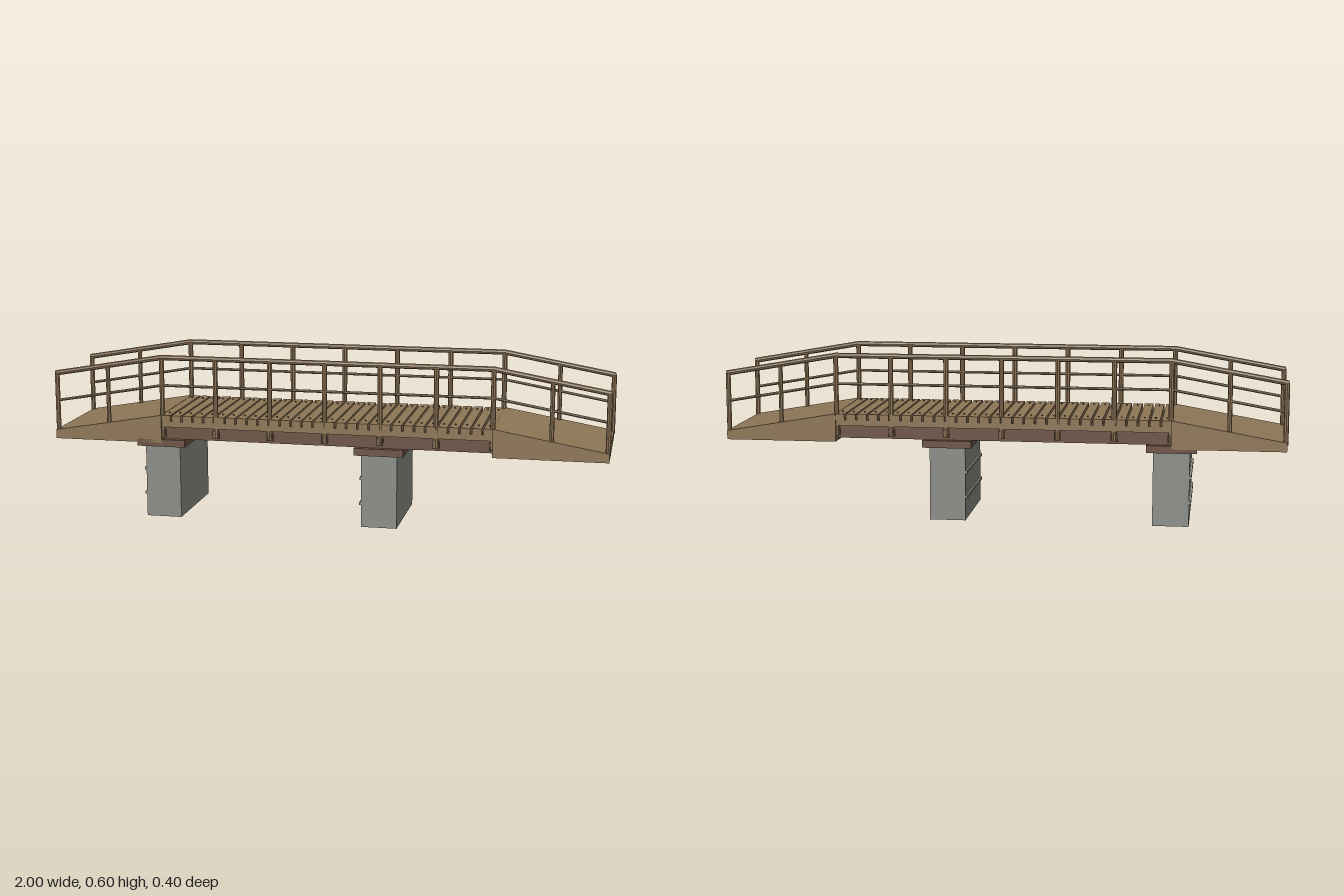
import * as THREE from 'three';

const mat = (name, color) => {
  const m = new THREE.MeshStandardMaterial({ color });
  m.name = name;
  return m;
};

export function createModel() {
  const wood = mat('wood', 0x8f7757);
  const darkWood = mat('dark wood', 0x6e5546);
  const concrete = mat('concrete', 0x8c8e88);
  const iron = mat('iron', 0x55504a);
  // flat-sided round timber
  const railWood = mat('rail wood', 0x8b7355);
  railWood.flatShading = true;

  const model = new THREE.Group();
  model.name = 'footbridge';

  const group = (name) => {
    const g = new THREE.Group();
    g.name = name;
    model.add(g);
    return g;
  };
  const add = (parent, name, geo, material, x = 0, y = 0, z = 0) => {
    const m = new THREE.Mesh(geo, material);
    m.name = name;
    m.position.set(x, y, z);
    parent.add(m);
    return m;
  };
  // box given by its lower and upper y
  const box = (parent, name, material, w, y0, y1, d, x = 0, z = 0) =>
    add(parent, name, new THREE.BoxGeometry(w, y1 - y0, d), material, x, (y0 + y1) / 2, z);
  // round bar between two points in a plane of constant z
  const bar = (parent, name, x0, y0, x1, y1, z, r, sides = 8) => {
    const dx = x1 - x0, dy = y1 - y0;
    const geo = new THREE.CylinderGeometry(r, r, Math.hypot(dx, dy), sides);
    const m = add(parent, name, geo, railWood, (x0 + x1) / 2, (y0 + y1) / 2, z);
    m.rotation.z = -Math.atan2(dx, dy);
  };

  // Piers with caps and formwork ridges
  const piers = group('piers');
  for (const x of [-0.597, 0.195]) {
    box(piers, 'pier', concrete, 0.128, 0, 0.264, 0.356, x);
    box(piers, 'pierCap', darkWood, 0.176, 0.264, 0.29, 0.4, x);
    for (const y of [0.085, 0.175]) {
      box(piers, 'pierRidge', concrete, 0.012, y - 0.005, y + 0.005, 0.35, x - 0.065);
    }
  }

  // Girders and cross beams under the deck
  const frame = group('frame');
  for (const s of [-1, 1]) box(frame, 'girder', darkWood, 1.2, 0.29, 0.336, 0.03, 0, s * 0.165);
  for (let i = -3; i <= 3; i++) {
    box(frame, 'crossBeam', darkWood, 0.024, 0.299, 0.325, 0.372, i * 0.198);
  }

  // Deck: base boards, planks and nail heads
  const deck = group('deck');
  add(deck, 'deckBase', new THREE.BoxGeometry(1.2, 0.021, 0.384),
    [wood, wood, darkWood, darkWood, wood, wood], 0, 0.3455, 0);
  const nailGeo = new THREE.CylinderGeometry(0.003, 0.003, 0.006, 6);
  for (let i = 0; i < 30; i++) {
    const x = -0.58 + i * 0.04;
    box(deck, 'plank', wood, 0.033, 0.355, 0.378, 0.39, x);
    for (const z of [-0.144, 0.144]) add(deck, 'nail', nailGeo, iron, x, 0.379, z);
  }

  // Solid wedge ramps at both ends
  const ramps = group('ramps');
  for (const s of [-1, 1]) {
    const profile = new THREE.Shape([
      [0.595, 0.278], [0.994, 0.278], [0.994, 0.31], [0.595, 0.379],
    ].map(([x, y]) => new THREE.Vector2(s * x, y)));
    const geo = new THREE.ExtrudeGeometry(profile, { depth: 0.4, bevelEnabled: false });
    add(ramps, 'ramp', geo, wood, 0, 0, -0.2);
  }

  // Railings on both sides
  for (const z of [-0.183, 0.183]) {
    const railing = group(z > 0 ? 'frontRailing' : 'backRailing');
    for (let i = -3; i <= 3; i++) bar(railing, 'post', i * 0.198, 0.3, i * 0.198, 0.585, z, 0.009);
    for (const [y, r, name] of [[0.586, 0.0095, 'topRail'], [0.485, 0.005, 'middleRail']]) {
      bar(railing, name, -0.597, y, 0.597, y, z, r);
      for (const s of [-1, 1]) bar(railing, name, s * 0.594, y, s * 0.994, y - 0.07, z, r);
    }
    for (const s of [-1, 1]) {
      bar(railing, 'rampPost', s * 0.796, 0.335, s * 0.796, 0.55, z, 0.008);
      bar(railing, 'rampPost', s * 0.989, 0.3, s * 0.989, 0.518, z, 0.009);
    }
  }

  return model;
}
